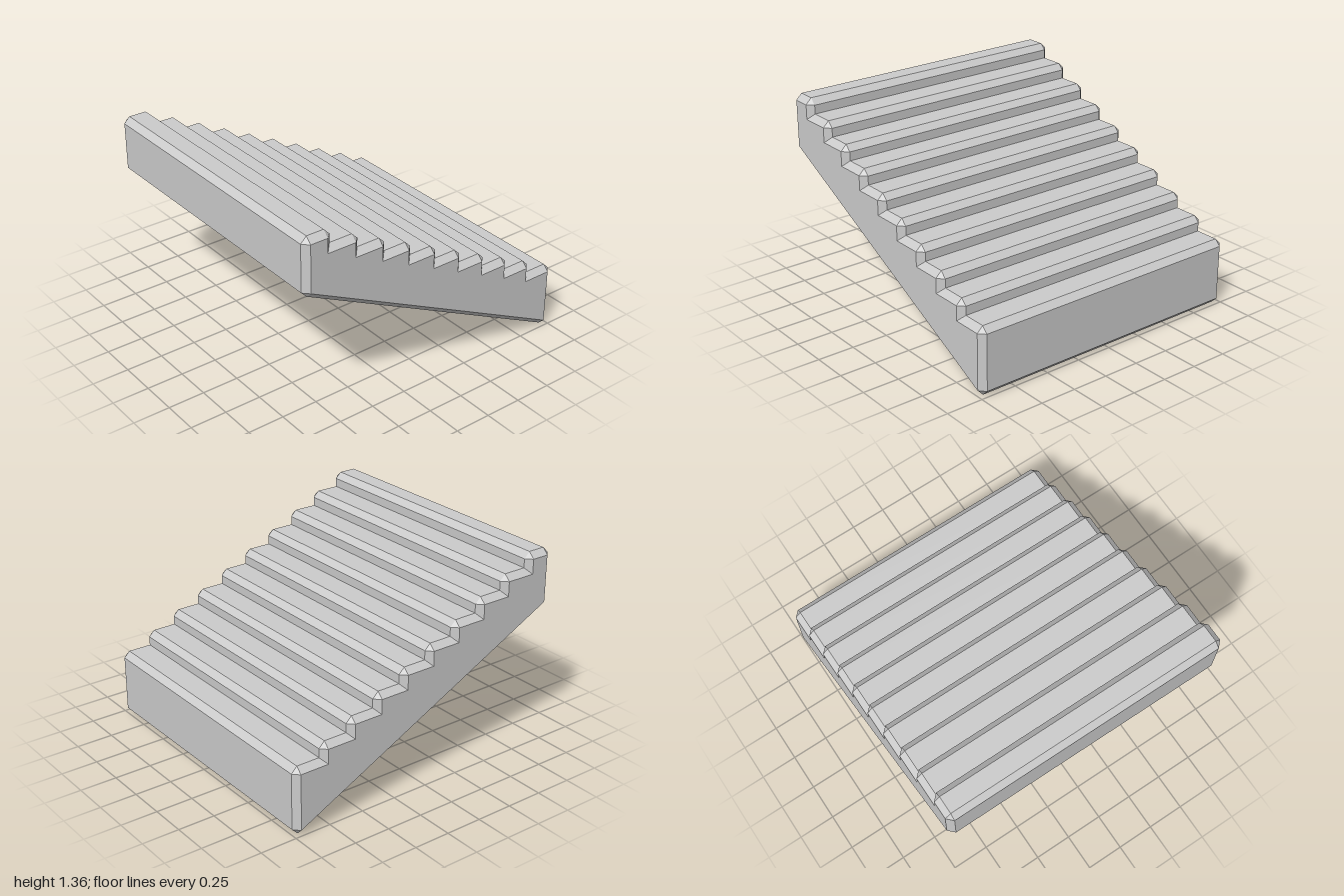
import * as THREE from 'three';

const BEVEL = 0.04;
const STEPS = 10;
const RUN = 0.2;
const RISE = 0.1;

// Stair outline, clockwise seen from +z. Each entry pairs a bevelled outline
// point with the matching point of the smaller side face.
function stairOutline() {
  const pairs = [];
  const add = (x, y, ix, iy) =>
    pairs.push({ outer: new THREE.Vector2(x, y), inner: new THREE.Vector2(ix, iy) });

  // tall end
  add(-1, 1, -0.96, 1);
  add(-1, 1.32, -0.96, 1.32);
  add(-0.96, 1.36, -0.96, 1.32);

  // treads with bevelled noses
  for (let i = 0; i < STEPS; i++) {
    const x = -1 + RUN * (i + 1);
    const y = 1.36 - RISE * i;
    add(x - BEVEL, y, x - BEVEL, y - BEVEL);
    add(x, y - BEVEL, x - BEVEL, y - BEVEL);
    if (i < STEPS - 1) add(x, y - RISE, x - BEVEL, y - RISE - BEVEL);
  }

  // low end and sloping underside
  add(1, 0.04, 0.96, 0.04);
  add(0.96, 0, 0.96, 0.04);
  add(-0.96, 0.96, -0.96, 1);
  return pairs;
}

function stairGeometry() {
  const pairs = stairOutline();
  const positions = [];
  const triangle = (a, b, c) => {
    if (a.distanceTo(b) < 1e-6 || b.distanceTo(c) < 1e-6 || c.distanceTo(a) < 1e-6) return;
    for (const p of [a, b, c]) positions.push(p.x, p.y, p.z);
  };
  const at = (p, z) => new THREE.Vector3(p.x, p.y, z);

  // outline swept from the front side face to the back one
  const rings = [['inner', 1], ['outer', 1 - BEVEL], ['outer', BEVEL - 1], ['inner', -1]]
    .map(([key, z]) => pairs.map((pair) => at(pair[key], z)));
  for (let r = 0; r < rings.length - 1; r++) {
    const front = rings[r];
    const back = rings[r + 1];
    for (let i = 0; i < pairs.length; i++) {
      const j = (i + 1) % pairs.length;
      triangle(front[i], front[j], back[j]);
      triangle(front[i], back[j], back[i]);
    }
  }

  // flat side faces
  const face = pairs.map((pair) => pair.inner)
    .filter((p, i, all) => p.distanceTo(all[(i + 1) % all.length]) > 1e-6)
    .reverse();
  for (const [a, b, c] of THREE.ShapeUtils.triangulateShape(face, [])) {
    triangle(at(face[a], 1), at(face[b], 1), at(face[c], 1));
    triangle(at(face[c], -1), at(face[b], -1), at(face[a], -1));
  }

  const geometry = new THREE.BufferGeometry();
  geometry.setAttribute('position', new THREE.Float32BufferAttribute(positions, 3));
  geometry.computeVertexNormals();
  return geometry;
}

export function createModel() {
  const group = new THREE.Group();
  group.name = 'staircase';
  const material = new THREE.MeshStandardMaterial({ color: 0xcccccc, flatShading: true });
  const stairs = new THREE.Mesh(stairGeometry(), material);
  stairs.name = 'stairFlight';
  group.add(stairs);
  return group;
}
